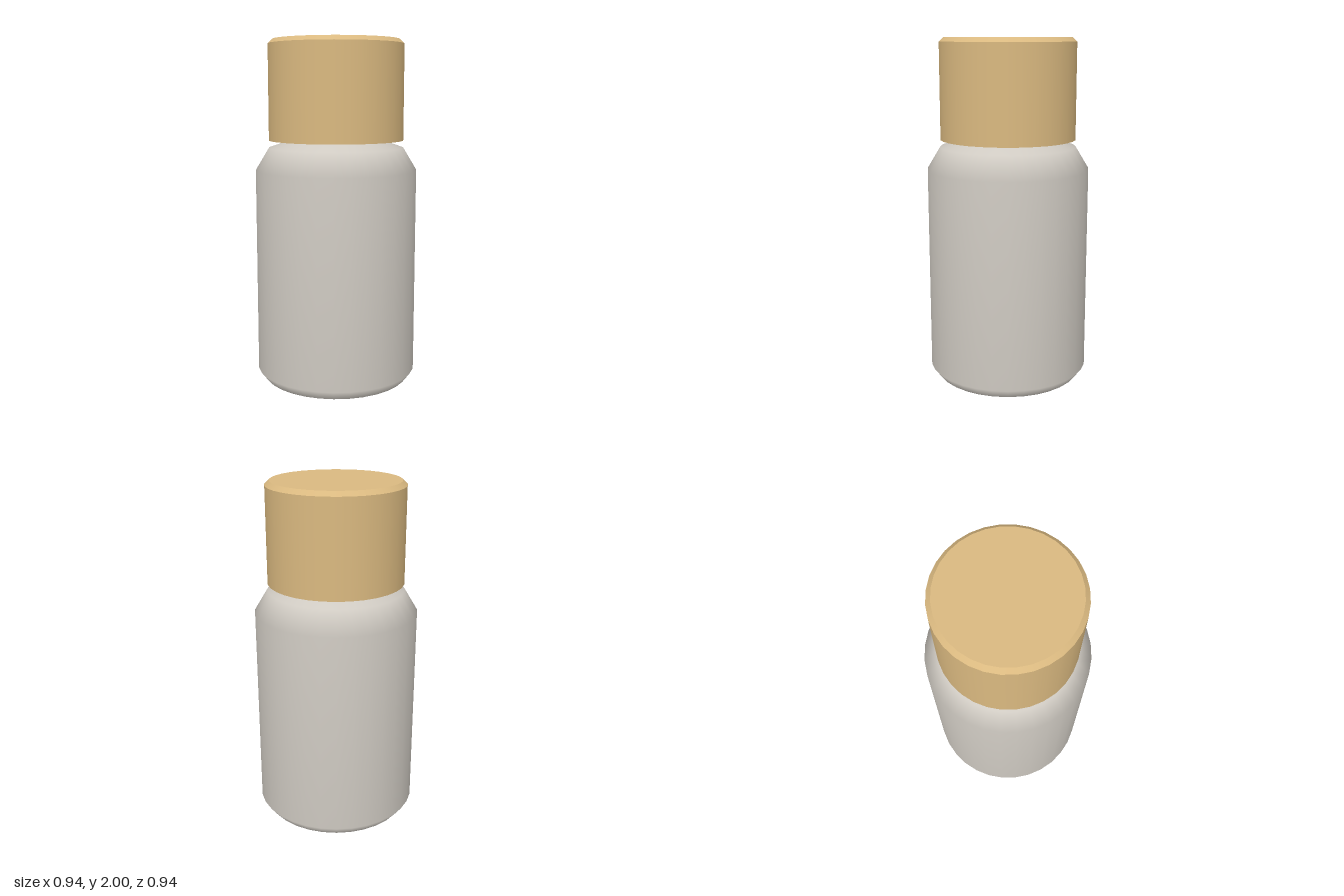
import * as THREE from 'three';

const SIDES = 32;

// Turned surface through [radius, height] points, smooth along its profile
const turned = (points) =>
  new THREE.LatheGeometry(points.map(([r, y]) => new THREE.Vector2(r, y)), SIDES);

export function createModel() {
  const glass = new THREE.MeshStandardMaterial({ color: 0xcfcac2 });
  glass.name = 'warm grey glass';
  const wood = new THREE.MeshStandardMaterial({ color: 0xdab980 });
  wood.name = 'light wood';

  const group = new THREE.Group();
  group.name = 'bottle';
  const add = (parent, name, geometry, material) => {
    const mesh = new THREE.Mesh(geometry, material);
    mesh.name = name;
    parent.add(mesh);
  };

  // Bottle: one smooth wall from base bevel to shoulder, and a flat base
  const bottle = new THREE.Group();
  bottle.name = 'bottleBody';
  add(bottle, 'wall', turned([
    [0.43, 0], [0.472, 0.055], [0.472, 1.25], [0.394, 1.38], [0.28, 1.42], [0.28, 1.43],
  ]), glass);
  add(bottle, 'base', turned([[0, 0], [0.43, 0]]), glass);

  // Cap: separate strips keep the edges crisp
  const cap = new THREE.Group();
  cap.name = 'cap';
  const capProfile = [[0, 1.423], [0.394, 1.423], [0.394, 1.975], [0.368, 2], [0, 2]];
  ['underside', 'side', 'bevel', 'top'].forEach((name, i) =>
    add(cap, name, turned([capProfile[i], capProfile[i + 1]]), wood));

  group.add(bottle, cap);
  return group;
}
